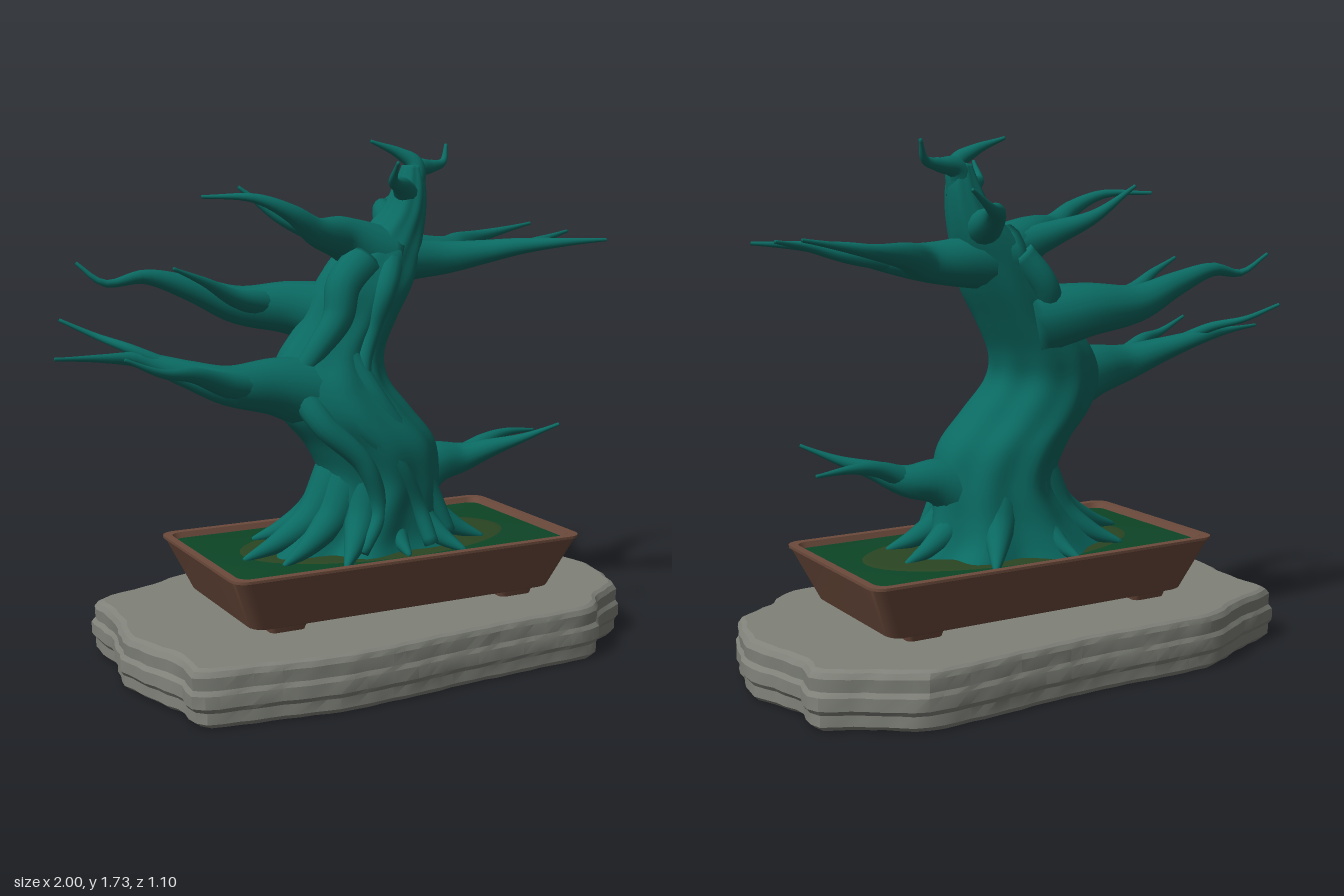
import * as THREE from 'three';
import { toCreasedNormals } from 'three/addons/utils/BufferGeometryUtils.js';

const V = (x, y, z) => new THREE.Vector3(x, y, z);
const bark = new THREE.MeshStandardMaterial({ color: 0x0a6a62 });
const clay = new THREE.MeshStandardMaterial({ color: 0x6b4a3b });
const rock = new THREE.MeshStandardMaterial({ color: 0x80827a });
const moss = new THREE.MeshStandardMaterial({ color: 0x0d4526 });
const earth = new THREE.MeshStandardMaterial({ color: 0x2a4522 });

// Skins a stack of closed loops (counter-clockwise from above) and caps both ends
function loft(loops) {
  const n = loops[0].length, pos = [], idx = [];
  loops.forEach(l => l.forEach(p => pos.push(p.x, p.y, p.z)));
  for (let j = 0; j < loops.length - 1; j++) {
    for (let i = 0; i < n; i++) {
      const a = j * n + i, b = j * n + (i + 1) % n;
      idx.push(a, b, b + n, a, b + n, a + n);
    }
  }
  [0, loops.length - 1].forEach((j, top) => {
    const c = loops[j].reduce((s, p) => s.add(p), V(0, 0, 0)).divideScalar(n);
    const k = pos.length / 3;
    pos.push(c.x, c.y, c.z);
    for (let i = 0; i < n; i++) {
      const a = j * n + i, b = j * n + (i + 1) % n;
      if (top) idx.push(a, b, k); else idx.push(b, a, k);
    }
  });
  const g = new THREE.BufferGeometry();
  g.setAttribute('position', new THREE.Float32BufferAttribute(pos, 3));
  g.setIndex(idx);
  g.computeVertexNormals();
  return g;
}

// Tapered limb through [x, y, z] points, from radius r0 to r1
function limb(points, r0, r1 = 0.006, power = 1.3) {
  const curve = new THREE.CatmullRomCurve3(points.map(p => V(...p)));
  const steps = 32, sides = 14, f = curve.computeFrenetFrames(steps);
  const loops = [];
  for (let j = 0; j <= steps; j++) {
    const t = j / steps, c = curve.getPointAt(t);
    const r = r1 + (r0 - r1) * Math.pow(1 - t, power);
    loops.push(Array.from({ length: sides }, (_, i) => {
      const a = i / sides * Math.PI * 2;
      return c.clone().addScaledVector(f.normals[j], r * Math.cos(a))
        .addScaledVector(f.binormals[j], r * Math.sin(a));
    }));
  }
  return loft(loops);
}

// Rounded rectangle loop around the tray centre
function roundRect(hx, hz, y, r, cx = 0.085) {
  const out = [];
  for (let q = 0; q < 4; q++) {
    const sx = q === 0 || q === 3 ? 1 : -1, sz = q < 2 ? -1 : 1;
    for (let k = 0; k <= 6; k++) {
      const a = (q + k / 6) * Math.PI / 2;
      out.push(V(cx + sx * (hx - r) + r * Math.cos(a), y, sz * (hz - r) - r * Math.sin(a)));
    }
  }
  return out;
}

function buildSlab() {
  // Irregular outline, clockwise from above, so it is reversed before skinning
  const outline = [[-0.80, -0.36], [-0.60, -0.44], [-0.41, -0.525], [0.08, -0.515], [0.64, -0.55], [0.80, -0.45],
    [0.95, -0.36], [0.93, -0.23], [1.0, 0], [0.94, 0.28], [0.79, 0.37], [0.69, 0.485], [0.25, 0.51],
    [-0.26, 0.55], [-0.74, 0.48], [-0.755, 0.33], [-0.84, 0.06], [-0.80, -0.13]].reverse();
  const curve = new THREE.CatmullRomCurve3(outline.map(([x, z]) => V(x, 0, z)), true, 'catmullrom', 0.2);
  const base = curve.getSpacedPoints(110).slice(0, 110);
  const layers = [[0.005, 0.965], [0.02, 0.985], [0.055, 0.985], [0.07, 0.998], [0.11, 0.998],
    [0.125, 0.986], [0.165, 0.99], [0.182, 0.978], [0.19, 0.96]];
  return loft(layers.map(([y, s], j) => base.map((p, i) => {
    const k = s + 0.004 * Math.sin(i * 0.9 + j * 0.3) + 0.004 * Math.sin(i * 2.3 - j * 0.5);
    return V(0.08 + (p.x - 0.08) * k, y, p.z * k);
  })));
}

function buildTrunk() {
  // [centre x, y, centre z, half width x, half depth z]
  const keys = [[0.05, 0.36, -0.01, 0.38, 0.24], [0.06, 0.42, -0.01, 0.30, 0.215], [0.085, 0.50, 0, 0.25, 0.20],
    [0.11, 0.61, 0.01, 0.215, 0.195], [0.07, 0.73, 0.015, 0.225, 0.20], [-0.02, 0.84, 0.01, 0.225, 0.185],
    [-0.07, 0.94, -0.005, 0.20, 0.16], [-0.05, 1.03, -0.03, 0.18, 0.14], [0.02, 1.14, -0.04, 0.165, 0.13],
    [0.08, 1.25, -0.045, 0.17, 0.13], [0.135, 1.34, -0.06, 0.15, 0.115], [0.20, 1.42, -0.075, 0.11, 0.095],
    [0.25, 1.50, -0.08, 0.075, 0.075], [0.275, 1.58, -0.085, 0.055, 0.055], [0.285, 1.65, -0.09, 0.03, 0.035]];
  const path = new THREE.CatmullRomCurve3(keys.map(k => V(k[0], k[1], k[2])), false, 'catmullrom', 0.5);
  const size = new THREE.CatmullRomCurve3(keys.map(k => V(k[3], k[4], 0)), false, 'catmullrom', 0.5);
  const loops = [], rings = 90, sides = 72;
  for (let j = 0; j <= rings; j++) {
    const t = j / rings, c = path.getPoint(t), s = size.getPoint(t);
    const flare = 0.1 * Math.pow(1 - t, 6);
    loops.push(Array.from({ length: sides }, (_, i) => {
      const a = i / sides * Math.PI * 2;
      const k = 1 + flare * Math.cos(7 * a) + 0.03 * Math.sin(4 * a + 5 * t)
        + 0.022 * Math.sin(9 * a - 6 * t);
      return V(c.x + s.x * k * Math.cos(a), c.y, c.z - s.y * k * Math.sin(a));
    }));
  }
  return loft(loops);
}

export function createModel() {
  const model = new THREE.Group();
  const add = (name, geometry, material, parent = model) => {
    const mesh = new THREE.Mesh(geometry, material);
    mesh.name = name;
    parent.add(mesh);
    return mesh;
  };
  const addLimbs = (name, list) => {
    const group = new THREE.Group();
    group.name = name;
    list.forEach((l, i) => add(name + (i + 1), limb(...l), bark, group));
    model.add(group);
  };

  add('stoneSlab', toCreasedNormals(buildSlab(), 0.4), rock);

  // Tray: outer wall, rim, inner wall, floor
  add('tray', toCreasedNormals(loft([
    roundRect(0.55, 0.27, 0.21, 0.04), roundRect(0.56, 0.28, 0.215, 0.045), roundRect(0.638, 0.338, 0.385, 0.05),
    roundRect(0.645, 0.345, 0.388, 0.05), roundRect(0.645, 0.345, 0.397, 0.05),
    roundRect(0.618, 0.318, 0.397, 0.04), roundRect(0.60, 0.30, 0.35, 0.04)]), 0.5), clay);
  for (const x of [-0.345, 0.515]) {
    for (const z of [-0.215, 0.215]) {
      add('trayFoot', toCreasedNormals(loft([roundRect(0.06, 0.045, 0.186, 0.02, 0),
        roundRect(0.068, 0.052, 0.212, 0.02, 0)]), 0.5), clay).position.set(x, 0, z);
    }
  }
  add('mossBed', loft([roundRect(0.605, 0.305, 0.355, 0.04), roundRect(0.61, 0.31, 0.378, 0.04)]), moss);
  const mound = add('soilMound', new THREE.SphereGeometry(1, 40, 10, 0, Math.PI * 2, 0, Math.PI / 2), earth);
  mound.scale.set(0.5, 0.012, 0.26);
  mound.position.set(0.1, 0.376, 0);

  add('trunk', buildTrunk(), bark);

  // Surface roots fan out around the base
  const rootTips = [[-0.41, 0.05], [-0.32, 0.17], [-0.15, 0.28], [0.10, 0.25], [0.30, 0.27], [0.45, 0.14],
    [0.48, -0.06], [0.28, -0.29], [-0.03, -0.30], [-0.28, -0.18]];
  addLimbs('root', rootTips.map(([x, z]) => {
    const at = (k, y) => [0.09 + (x - 0.09) * k, y, z * k];
    return [[at(0.25, 0.64), at(0.48, 0.49), at(0.74, 0.42), at(1, 0.378)], 0.09, 0.008, 0.9];
  }));

  // Old wood ridges running down the front, and the knots above them
  addLimbs('ridge', [
    [[[-0.22, 0.97, 0.03], [-0.17, 0.83, 0.14], [-0.03, 0.68, 0.18], [0.02, 0.52, 0.18], [-0.06, 0.40, 0.22]], 0.05, 0.02, 1],
    [[[-0.14, 0.99, 0.06], [-0.06, 0.84, 0.16], [0.08, 0.68, 0.19], [0.17, 0.52, 0.18], [0.20, 0.40, 0.22]], 0.045, 0.025, 1],
    [[[-0.06, 1.08, 0.05], [0.03, 0.90, 0.13], [0.15, 0.72, 0.16], [0.24, 0.56, 0.15], [0.30, 0.42, 0.16]], 0.04, 0.025, 1],
    [[[0.05, 1.33, 0.0], [-0.04, 1.26, 0.04], [-0.07, 1.16, 0.06], [-0.15, 1.05, 0.06], [-0.22, 0.95, 0.04]], 0.07, 0.03, 1],
    [[[0.17, 1.36, -0.02], [0.10, 1.25, 0.07], [0.05, 1.12, 0.07], [0.0, 0.98, 0.11], [0.04, 0.82, 0.16]], 0.05, 0.015, 1],
    [[[0.10, 1.36, -0.13], [0.02, 1.26, -0.16], [-0.04, 1.1, -0.12], [-0.08, 0.95, -0.12], [0.02, 0.75, -0.14]], 0.055, 0.02, 1],
  ]);

  addLimbs('lowLeftBranch', [
    [[[-0.08, 0.89, 0.01], [-0.28, 0.94, 0.03], [-0.46, 0.96, 0.05], [-0.58, 1.0, 0.01], [-0.71, 1.045, -0.05],
      [-0.84, 1.06, -0.035], [-1.0, 1.07, -0.01]], 0.14, 0.006, 1.6],
    [[[-0.50, 0.97, 0.03], [-0.64, 1.03, -0.02], [-0.74, 1.08, -0.07], [-0.82, 1.115, -0.17], [-0.92, 1.165, -0.23]], 0.034],
    [[[-0.32, 0.945, 0.04], [-0.48, 0.97, 0.10], [-0.62, 1.02, 0.17], [-0.74, 1.04, 0.22], [-0.86, 1.09, 0.24]], 0.06],
  ]);
  addLimbs('middleLeftBranch', [
    [[[0.02, 1.14, -0.09], [-0.14, 1.175, -0.16], [-0.32, 1.19, -0.19], [-0.48, 1.25, -0.20], [-0.64, 1.295, -0.20],
      [-0.78, 1.28, -0.19], [-0.86, 1.345, -0.23]], 0.12, 0.006, 1.4],
    [[[-0.22, 1.19, -0.16], [-0.36, 1.22, -0.11], [-0.48, 1.28, -0.07], [-0.60, 1.33, -0.04]], 0.05],
  ]);
  addLimbs('upperLeftBranch', [
    [[[0.16, 1.34, -0.06], [0.0, 1.41, -0.04], [-0.14, 1.44, 0.04], [-0.24, 1.50, 0.075], [-0.36, 1.55, 0.06],
      [-0.51, 1.555, -0.02]], 0.11, 0.006, 1.6],
    [[[0.08, 1.38, -0.08], [-0.06, 1.43, -0.11], [-0.18, 1.48, -0.15], [-0.31, 1.58, -0.20]], 0.065],
  ]);
  addLimbs('rightBranch', [
    [[[0.10, 1.35, -0.07], [0.28, 1.34, -0.08], [0.42, 1.345, -0.09], [0.53, 1.37, -0.18], [0.68, 1.39, -0.265],
      [0.92, 1.43, -0.305]], 0.11, 0.006, 1.4],
    [[[0.20, 1.335, -0.06], [0.38, 1.335, -0.03], [0.51, 1.355, 0.03], [0.59, 1.375, 0.11], [0.69, 1.39, 0.20], [0.85, 1.40, 0.265]], 0.08],
    [[[0.36, 1.335, -0.03], [0.50, 1.35, 0.01], [0.63, 1.365, 0.03], [0.74, 1.39, 0.035], [0.88, 1.415, -0.01]], 0.05],
  ]);
  addLimbs('lowRightBranch', [
    [[[0.16, 0.53, 0.0], [0.32, 0.62, 0.0], [0.44, 0.635, 0.01], [0.53, 0.67, 0.06], [0.63, 0.705, 0.11], [0.74, 0.755, 0.17]], 0.13, 0.006, 1.6],
    [[[0.42, 0.63, 0.01], [0.53, 0.68, 0.0], [0.65, 0.70, -0.03], [0.78, 0.695, -0.05]], 0.042],
  ]);
  addLimbs('crownBranch', [
    [[[0.27, 1.56, -0.08], [0.31, 1.635, -0.10], [0.38, 1.645, -0.12], [0.44, 1.66, -0.14], [0.47, 1.72, -0.17]], 0.052],
    [[[0.28, 1.56, -0.08], [0.30, 1.65, -0.09], [0.25, 1.69, -0.11], [0.15, 1.73, -0.13]], 0.05],
    [[[0.27, 1.54, -0.08], [0.21, 1.58, -0.02], [0.14, 1.60, 0.05], [0.12, 1.66, 0.12]], 0.05],
    [[[0.22, 1.44, -0.08], [0.25, 1.465, -0.20], [0.29, 1.50, -0.31], [0.36, 1.515, -0.40], [0.45, 1.57, -0.45]], 0.07],
  ]);
  return model;
}
